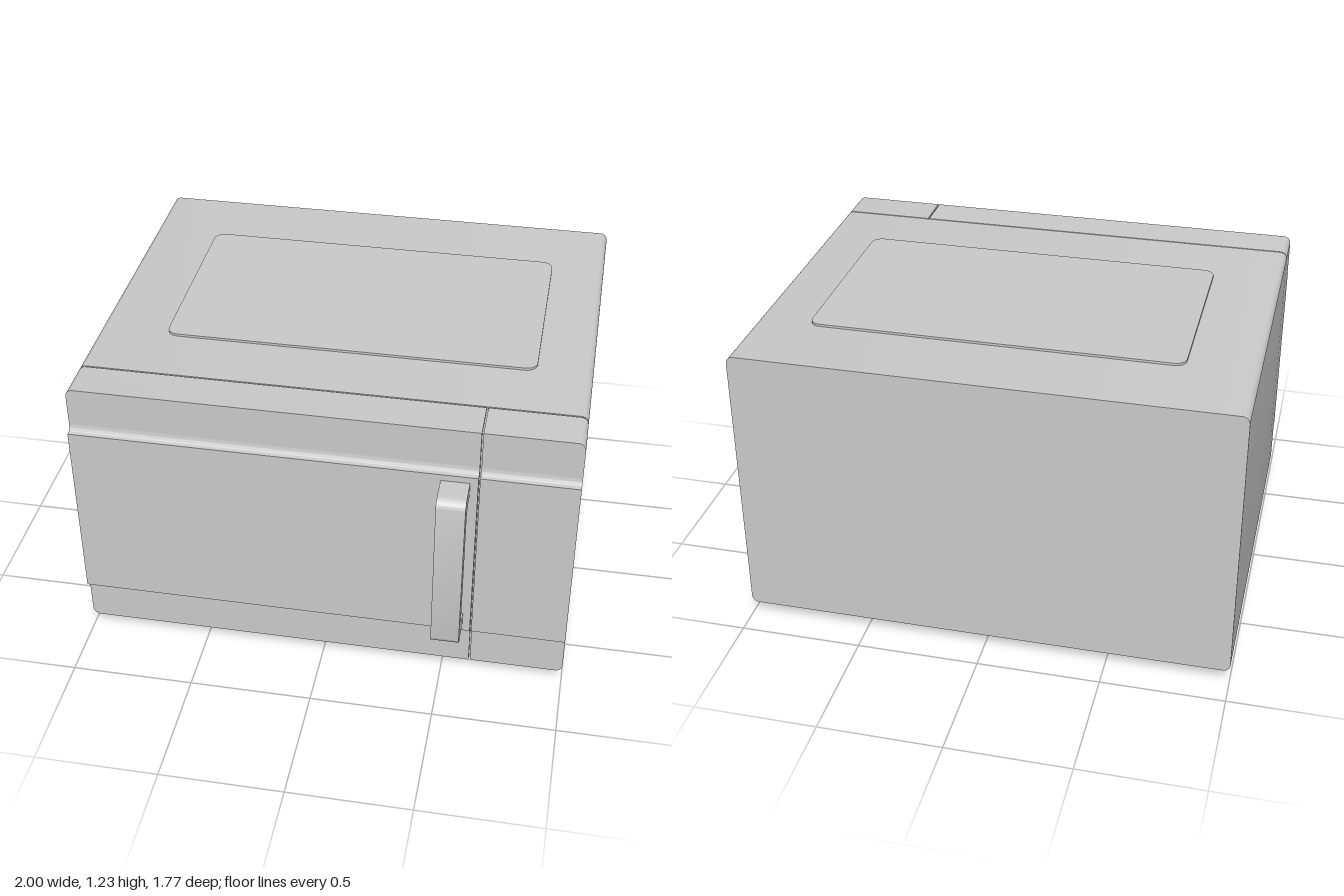
import * as THREE from 'three';
import { toCreasedNormals } from 'three/addons/utils/BufferGeometryUtils.js';

const material = new THREE.MeshStandardMaterial({ color: 0xcccccc });

function part(name, geometry, parent) {
  const mesh = new THREE.Mesh(geometry, material);
  mesh.name = name;
  parent.add(mesh);
  return mesh;
}

// Rounded rectangle; left and right corner radii can differ.
function roundedRect(x0, x1, y0, y1, rl, rr = rl, Type = THREE.Shape) {
  const s = new Type();
  s.moveTo(x0 + rl, y0);
  s.lineTo(x1 - rr, y0);
  if (rr) s.absarc(x1 - rr, y0 + rr, rr, -Math.PI / 2, 0);
  s.lineTo(x1, y1 - rr);
  if (rr) s.absarc(x1 - rr, y1 - rr, rr, 0, Math.PI / 2);
  s.lineTo(x0 + rl, y1);
  if (rl) s.absarc(x0 + rl, y1 - rl, rl, Math.PI / 2, Math.PI);
  s.lineTo(x0, y0 + rl);
  if (rl) s.absarc(x0 + rl, y0 + rl, rl, Math.PI, Math.PI * 1.5);
  return s;
}

function extrude(shape, depth) {
  return new THREE.ExtrudeGeometry(shape, { depth, bevelEnabled: false, curveSegments: 8 });
}

// Extrusions along z, along x (profile drawn in z, y) and along y (plan drawn in x, -z).
const alongZ = (shape, z0, z1) =>
  toCreasedNormals(extrude(shape, z1 - z0).translate(0, 0, z0), 0.6);
const alongX = (shape, x0, x1) =>
  toCreasedNormals(extrude(shape, x1 - x0).rotateY(-Math.PI / 2).translate(x1, 0, 0), 0.6);
const alongY = (shape, y0, y1) =>
  toCreasedNormals(extrude(shape, y1 - y0).rotateX(-Math.PI / 2).translate(0, y0, 0), 0.6);

// Raised front band with a concave sweep back to the fascia above and below.
function bandProfile() {
  const s = new THREE.Shape();
  s.moveTo(0.715, 0.21);
  s.lineTo(0.72, 0.215);
  s.quadraticCurveTo(0.722, 0.245, 0.735, 0.245);
  s.lineTo(0.75, 0.245);
  s.lineTo(0.75, 1.027);
  s.lineTo(0.735, 1.027);
  s.quadraticCurveTo(0.722, 1.027, 0.72, 1.057);
  s.lineTo(0.715, 1.062);
  s.closePath();
  return s;
}

// C-shaped handle seen from the side.
function handleProfile() {
  const s = new THREE.Shape();
  s.moveTo(0.745, 0.28);
  s.lineTo(0.847, 0.28);
  s.absarc(0.847, 0.318, 0.038, -Math.PI / 2, 0);
  s.lineTo(0.885, 0.962);
  s.absarc(0.847, 0.962, 0.038, 0, Math.PI / 2);
  s.lineTo(0.745, 1.0);
  s.lineTo(0.745, 0.94);
  s.lineTo(0.777, 0.94);
  s.absarc(0.777, 0.89, 0.05, Math.PI / 2, 0, true);
  s.lineTo(0.827, 0.385);
  s.absarc(0.777, 0.385, 0.05, 0, -Math.PI / 2, true);
  s.lineTo(0.745, 0.335);
  s.closePath();
  return s;
}

export function createModel() {
  const model = new THREE.Group();
  model.name = 'microwaveOven';
  const bottom = 0.055, top = 1.217, r = 0.03;

  // Casing, and a slightly smaller core that closes the seams
  part('casing', alongZ(roundedRect(-1, 1, bottom, top, r), -0.885, 0.546), model);
  part('seamCore', alongZ(roundedRect(-0.988, 0.988, bottom + 0.012, top - 0.012, r), 0.5, 0.705), model);

  // Door and control panel share one section, split by a narrow seam
  const fronts = [
    ['door', -1, 0.614, r, 0],
    ['controlPanel', 0.62, 1, 0, r],
  ];
  for (const [name, x0, x1, rl, rr] of fronts) {
    const group = new THREE.Group();
    group.name = name;
    part(name + 'Slab', alongZ(roundedRect(x0, x1, bottom, top, rl, rr), 0.552, 0.72), group);
    part(name + 'Band', alongX(bandProfile(), x0, x1), group);
    model.add(group);
  }

  part('handle', alongX(handleProfile(), 0.47, 0.583), model);

  // Thin raised plates on the top and underneath
  part('topPlate', alongY(roundedRect(-0.72, 0.78, -0.273, 0.567, 0.045), top - 0.005, 1.227), model);
  part('basePlate', alongY(roundedRect(-0.93, 0.93, -0.5, 0.84, 0.11), 0.042, bottom + 0.005), model);

  // Feet
  const footProfile = [
    [0, 0], [0.062, 0], [0.076, 0.004], [0.084, 0.012], [0.088, 0.024], [0.088, 0.034], [0.084, 0.045],
  ].map(([x, y]) => new THREE.Vector2(x, y));
  const footGeometry = toCreasedNormals(new THREE.LatheGeometry(footProfile, 32), 0.8);
  for (const x of [-0.81, 0.81]) {
    for (const z of [-0.715, 0.368]) part('foot', footGeometry, model).position.set(x, 0, z);
  }

  return model;
}
